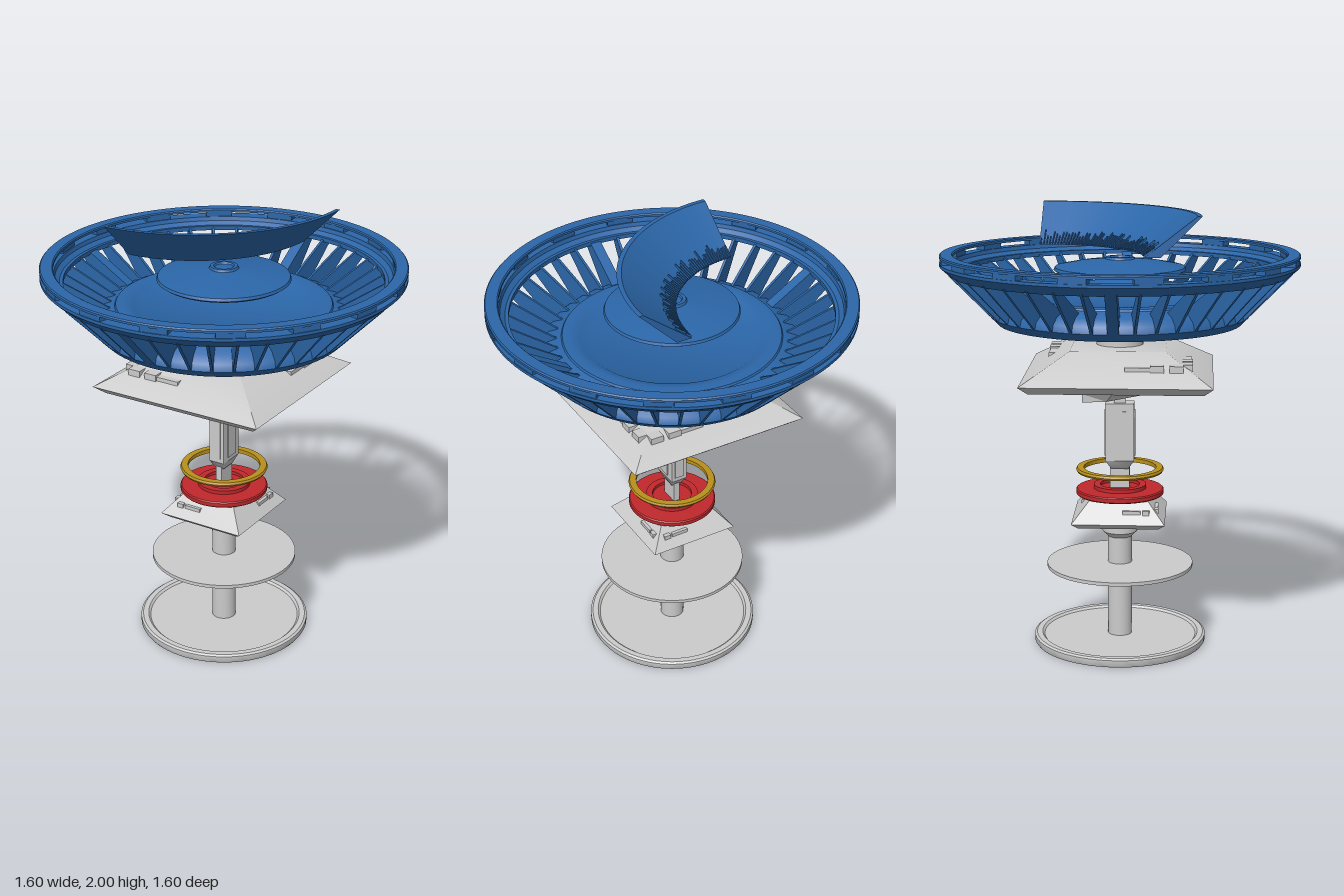
import * as THREE from 'three';
import { toCreasedNormals } from 'three/addons/utils/BufferGeometryUtils.js';

const mat = (color) => new THREE.MeshStandardMaterial({ color, side: THREE.DoubleSide });
const grey = mat(0xcccccc), blue = mat(0x2b66a8), red = mat(0xc0282c), yellow = mat(0xb8901c);

export function createModel() {
  const model = new THREE.Group();

  const add = (name, geometry, material, parent = model) => {
    const mesh = new THREE.Mesh(geometry, material);
    mesh.name = name;
    parent.add(mesh);
    return mesh;
  };
  // Turned part from a profile of [radius, height], listed from bottom to top
  const lathe = (name, profile, material, segments = 72, start = 0, length = Math.PI * 2) => {
    const pts = profile.map(([r, y]) => new THREE.Vector2(r, y));
    return add(name, toCreasedNormals(new THREE.LatheGeometry(pts, segments, start, length), 0.6), material);
  };
  // Square stepped part: profile uses half side lengths
  const square = (name, profile, material) => {
    const mesh = lathe(name, profile.map(([h, y]) => [h * Math.SQRT2, y]), material, 4);
    mesh.rotation.y = Math.PI / 4;
    return mesh;
  };
  const box = (name, w, h, d, x, y, z, material, parent) => {
    const mesh = add(name, new THREE.BoxGeometry(w, h, d), material, parent);
    mesh.position.set(x, y, z);
    return mesh;
  };
  const polygon = (points) => new THREE.Shape(points.map(([x, y]) => new THREE.Vector2(x, y)));
  const group = (name) => {
    const g = new THREE.Group();
    g.name = name;
    model.add(g);
    return g;
  };

  // Base, column and lower plate
  lathe('baseDisc', [[0, 0], [0.39, 0], [0.395, 0.008], [0.395, 0.033], [0.385, 0.04], [0.36, 0.04], [0.35, 0.03], [0, 0.03]], grey);
  lathe('column', [[0, 0.02], [0.055, 0.02], [0.055, 0.5], [0.08, 0.525], [0.08, 0.585], [0, 0.585]], grey, 32);
  lathe('lowerPlate', [[0, 0.36], [0.335, 0.36], [0.335, 0.376], [0, 0.376]], grey);

  // Small and large pyramid hulls
  square('lowerHull', [[0, 0.58], [0.18, 0.58], [0.21, 0.605], [0.13, 0.7], [0, 0.7]], grey);
  square('upperHull', [[0, 1.235], [0.38, 1.235], [0.42, 1.27], [0.21, 1.395], [0, 1.395]], grey);
  lathe('upperCollar', [[0.105, 1.39], [0.105, 1.435], [0.085, 1.44], [0.085, 1.46], [0.065, 1.475], [0.05, 1.48], [0.05, 1.5], [0, 1.5]], grey, 40);

  // Hull fittings on all four faces, mirrored about the diagonal
  for (let i = 0; i < 4; i++) {
    const side = group('hullFittings');
    side.rotation.y = i * Math.PI / 2;
    const s = i % 2 ? 1 : -1;
    box('fitting', 0.06, 0.035, 0.06, s * 0.26, 1.335, 0.3, grey, side);
    box('fitting', 0.06, 0.035, 0.06, s * 0.175, 1.335, 0.3, grey, side);
    box('fittingPlate', 0.11, 0.035, 0.05, s * 0.09, 1.327, 0.3, grey, side);
    box('smallFitting', 0.03, 0.02, 0.03, s * 0.125, 0.653, 0.165, grey, side);
    box('smallFittingPlate', 0.08, 0.016, 0.025, s * 0.06, 0.653, 0.165, grey, side);
  }

  // Red drum and yellow ring
  lathe('redDrum', [[0, 0.7], [0.195, 0.7], [0.2, 0.705], [0.2, 0.722], [0.195, 0.727], [0.12, 0.728], [0.12, 0.745], [0.09, 0.745], [0.09, 0.73], [0, 0.73]], red);
  lathe('yellowRing', [[0.165, 0.806], [0.195, 0.806], [0.2, 0.815], [0.195, 0.825], [0.165, 0.825], [0.165, 0.806]], yellow);

  // Core tower with tapered foot and recessed-looking frames
  box('coreStem', 0.03, 0.12, 0.09, 0, 0.78, 0, grey);
  const foot = square('coreFoot', [[0, 0.82], [0.6, 0.82], [1, 0.86], [0, 0.86]], grey);
  foot.geometry.rotateY(Math.PI / 4).scale(0.038, 1, 0.065);
  foot.rotation.y = 0;
  box('coreTower', 0.076, 0.265, 0.13, 0, 0.9925, 0, grey);
  for (const s of [-1, 1]) {
    box('towerPanel', 0.045, 0.21, 0.008, 0, 0.985, s * 0.066, grey);
    box('towerPanel', 0.008, 0.21, 0.06, s * 0.039, 0.985, 0, grey);
  }
  box('towerNeck', 0.04, 0.045, 0.05, 0, 1.14, 0, grey);

  // Wedge-shaped cap plate set on the diagonal
  const capShape = polygon([[-0.226, 0], [0.226, 0], [0.135, 0.095], [-0.135, 0.095]]);
  const capGeo = new THREE.ExtrudeGeometry(capShape, { depth: 0.038, bevelEnabled: false });
  const cp = capGeo.attributes.position;
  for (let i = 0; i < cp.count; i++) {
    if (cp.getZ(i) > 0.02 && cp.getY(i) > 0.05) cp.setY(i, 0.06); // slanted long side
  }
  capGeo.computeVertexNormals();
  capGeo.rotateX(Math.PI / 2).rotateY(-Math.PI / 4);
  add('capPlate', capGeo, grey).position.y = 1.193;

  // Blue dish floor
  lathe('dishFloor', [[0, 1.495], [0.545, 1.495], [0.58, 1.53], [0.572, 1.56], [0.54, 1.59], [0.48, 1.612], [0.475, 1.62], [0.44, 1.625], [0.4, 1.615], [0.37, 1.595], [0, 1.595]], blue, 96);

  // Dish rim with a row of openings
  lathe('rimLower', [[0.7, 1.715], [0.755, 1.715], [0.79, 1.745], [0.8, 1.755], [0.8, 1.768], [0.74, 1.768], [0.735, 1.75], [0.715, 1.735], [0.7, 1.735], [0.7, 1.715]], blue, 96);
  lathe('rimUpper', [[0.74, 1.79], [0.8, 1.79], [0.8, 1.8], [0.795, 1.805], [0.745, 1.805], [0.74, 1.8], [0.74, 1.79]], blue, 96);
  for (let i = 0; i < 16; i++) {
    const post = group('rimPost');
    post.rotation.y = (i + 0.5) * Math.PI / 8;
    box('rimPostBlock', 0.12, 0.03, 0.05, 0, 1.779, 0.77, blue, post);
  }

  // Blades and four wide struts between floor and rim
  const bladeShape = polygon([[0.55, 1.5], [0.77, 1.725], [0.7, 1.725], [0.5, 1.605], [0.5, 1.55]]);
  for (let i = 0; i < 40; i++) {
    const wide = i % 10 === 0, t = wide ? 0.05 : 0.012;
    const geo = new THREE.ExtrudeGeometry(bladeShape, { depth: t, bevelEnabled: false });
    geo.translate(0, 0, -t / 2).rotateY(i * Math.PI / 20);
    add(wide ? 'dishStrut' : 'dishBlade', geo, blue);
  }

  // Floating centre disc with hub
  lathe('centreDisc', [[0, 1.72], [0.28, 1.72], [0.295, 1.73], [0.29, 1.742], [0.2, 1.76], [0.065, 1.777], [0.06, 1.787], [0.045, 1.787], [0.04, 1.78], [0, 1.782]], blue);

  // Quarter-round sloped panel floating above the dish
  const arcProfile = [[0.49, 1.825], [0.56, 1.825], [0.735, 2], [0.715, 2], [0.49, 1.825]];
  const arc = group('arcPanel');
  arc.position.set(-0.37, 0, -0.37);
  arc.add(lathe('arcShell', arcProfile, blue, 40, 0, Math.PI / 2));
  const capEnd = new THREE.ShapeGeometry(polygon(arcProfile.slice(0, 4)));
  add('arcEnd', capEnd, blue, arc);
  add('arcEnd', capEnd.clone().rotateY(-Math.PI / 2), blue, arc);

  // Fine ridges of uneven length along the panel's inner foot
  let seed = 7;
  const rand = () => (seed = (seed * 16807) % 2147483647) / 2147483647;
  for (let i = 0; i < 60; i++) {
    const len = 0.025 + rand() * 0.045;
    const ridge = polygon([[0.488, 1.825], [0.5, 1.825], [0.49 + len, 1.825 + len * 0.778], [0.488 + len, 1.833 + len * 0.778], [0.488, 1.835]]);
    const geo = new THREE.ExtrudeGeometry(ridge, { depth: 0.005, bevelEnabled: false });
    add('panelRidge', geo.rotateY(-(i + 0.4) / 60 * Math.PI / 2), blue, arc);
  }
  return model;
}
